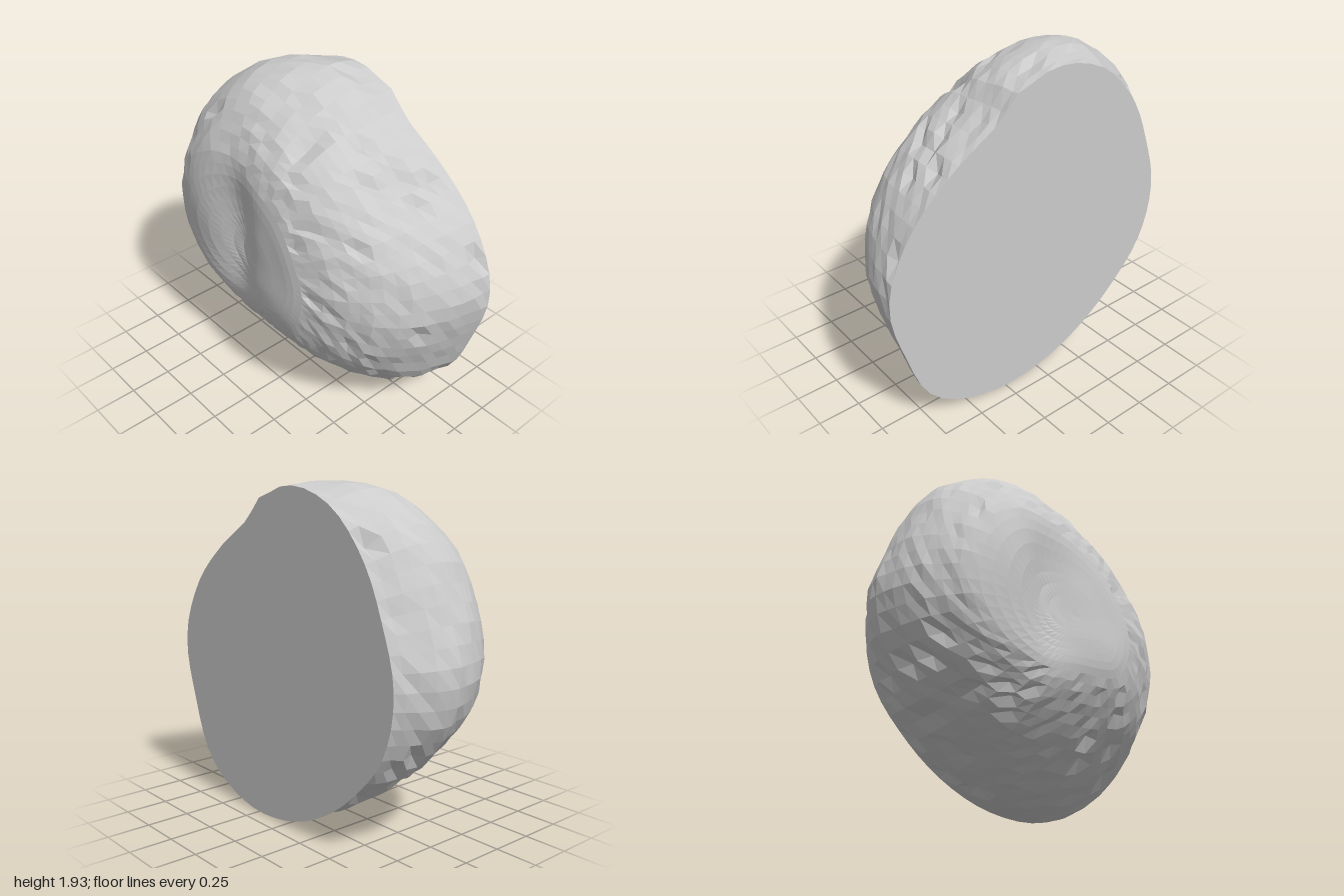
import * as THREE from 'three';

// Contour levels from the flat back to the front: depth z and 16 radii around (0, 0.95), starting at +x
const LEVELS = [
  { z: -0.41, r: [0.99, 0.91, 0.83, 0.82, 0.95, 0.96, 0.90, 0.85, 0.87, 0.87, 0.84, 0.86, 0.92, 1.00, 1.05, 0.99] },
  { z: -0.15, r: [0.94, 0.87, 0.81, 0.80, 0.95, 1.03, 1.03, 0.98, 1.00, 0.93, 0.86, 0.84, 0.88, 0.95, 0.98, 0.93] },
  { z: 0.10, r: [0.81, 0.78, 0.74, 0.76, 0.85, 0.97, 1.00, 0.96, 0.95, 0.86, 0.77, 0.73, 0.72, 0.76, 0.81, 0.82] },
  { z: 0.28, r: [0.62, 0.60, 0.58, 0.62, 0.69, 0.79, 0.86, 0.85, 0.83, 0.74, 0.64, 0.57, 0.51, 0.54, 0.61, 0.62] },
  { z: 0.38, r: [0.37, 0.35, 0.36, 0.40, 0.46, 0.56, 0.65, 0.69, 0.68, 0.59, 0.46, 0.36, 0.32, 0.34, 0.39, 0.38] },
];
const rim = LEVELS[4].r;
for (const scale of [0.5, 0.1]) LEVELS.push({ z: 0.395, r: rim.map((r) => r * scale) });

// Swellings and hollows of the front: [x, y, half width, half height, depth]
const RELIEF = [
  [-0.52, 1.15, 0.18, 0.3, 0.03],
  [-0.2, 1.08, 0.14, 0.42, -0.065],
  [0.05, 1.32, 0.2, 0.2, -0.015],
  [0.18, 0.8, 0.2, 0.15, 0.015],
];

const SEGMENTS = 60, STEPS = 4, CENTRE_Y = 0.95;

function seeded(seed) {
  return () => {
    seed = (seed * 1664525 + 1013904223) % 4294967296;
    return seed / 4294967296;
  };
}

function spline(a, b, c, d, t) {
  return 0.5 * (2 * b + (c - a) * t + (2 * a - 5 * b + 4 * c - d) * t * t + (3 * b - a - 3 * c + d) * t * t * t);
}

// Radius of one level in a direction, smooth around the loop
function radiusAt(level, u) {
  const n = level.r.length, k = Math.floor(u * n), t = u * n - k;
  const at = (i) => level.r[(i + n) % n];
  return spline(at(k - 1), at(k), at(k + 1), at(k + 2), t);
}

function relief(x, y) {
  return RELIEF.reduce((sum, [cx, cy, w, h, depth]) =>
    sum + depth * Math.exp(-(((x - cx) / w) ** 2) - ((y - cy) / h) ** 2), 0);
}

function rockGeometry() {
  const random = seeded(17);
  const positions = [], index = [];
  const rings = (LEVELS.length - 1) * STEPS;
  const level = (i) => LEVELS[Math.min(Math.max(i, 0), LEVELS.length - 1)];

  for (let i = 0; i <= rings; i++) {
    const k = Math.min(Math.floor(i / STEPS), LEVELS.length - 2), t = i / STEPS - k;
    const four = [level(k - 1), level(k), level(k + 1), level(k + 2)];
    const baseZ = spline(...four.map((l) => l.z), t);
    for (let j = 0; j < SEGMENTS; j++) {
      const u = j / SEGMENTS, a = u * Math.PI * 2;
      let r = spline(...four.map((l) => radiusAt(l, u)), t);
      // sharp lip where the upper dome steps down, and the notch in front of it
      r += 0.035 * Math.exp(-(((a - 1.33) / 0.07) ** 2)) * Math.max(0, 1 - i / (STEPS * 2.5));
      r -= 0.07 * Math.exp(-(((a - 1.36) / 0.08) ** 2) - ((baseZ - 0.16) / 0.1) ** 2);
      // fine roughness, with deeper chips along the lower and right flanks
      const rough = i > 0 && i < rings - 2 * STEPS ? 1 : 0;
      const chipped = a > 3.4 || a < 1.2;
      r += rough * (random() - 0.5) * 0.016;
      if (random() < (chipped ? 0.08 : 0.015)) r -= rough * 0.03;
      const x = r * Math.cos(a), y = CENTRE_Y + r * Math.sin(a);
      const front = THREE.MathUtils.smoothstep(baseZ, -0.1, 0.25);
      const z = baseZ + front * relief(x, y) + rough * (random() - 0.5) * 0.012;
      positions.push(x, Math.max(y, 0), Math.max(z, -0.41));
    }
  }

  // side and front skin
  for (let i = 0; i < rings; i++) {
    for (let j = 0; j < SEGMENTS; j++) {
      const n = (j + 1) % SEGMENTS;
      const a = i * SEGMENTS + j, b = i * SEGMENTS + n;
      const c = b + SEGMENTS, d = a + SEGMENTS;
      index.push(a, b, c, a, c, d);
    }
  }

  // flat back and front middle
  const back = positions.length / 3, front = back + 1;
  positions.push(0, CENTRE_Y, -0.41, 0, CENTRE_Y, 0.395 + relief(0, CENTRE_Y));
  for (let j = 0; j < SEGMENTS; j++) {
    const n = (j + 1) % SEGMENTS;
    index.push(n, j, back, rings * SEGMENTS + j, rings * SEGMENTS + n, front);
  }

  const geometry = new THREE.BufferGeometry();
  geometry.setAttribute('position', new THREE.Float32BufferAttribute(positions, 3));
  geometry.setIndex(index);
  geometry.computeVertexNormals();
  return geometry;
}

export function createModel() {
  const group = new THREE.Group();
  group.name = 'halfRock';
  const rock = new THREE.Mesh(
    rockGeometry(),
    new THREE.MeshStandardMaterial({ color: 0xcccccc, flatShading: true })
  );
  rock.name = 'rock';
  group.add(rock);
  return group;
}
